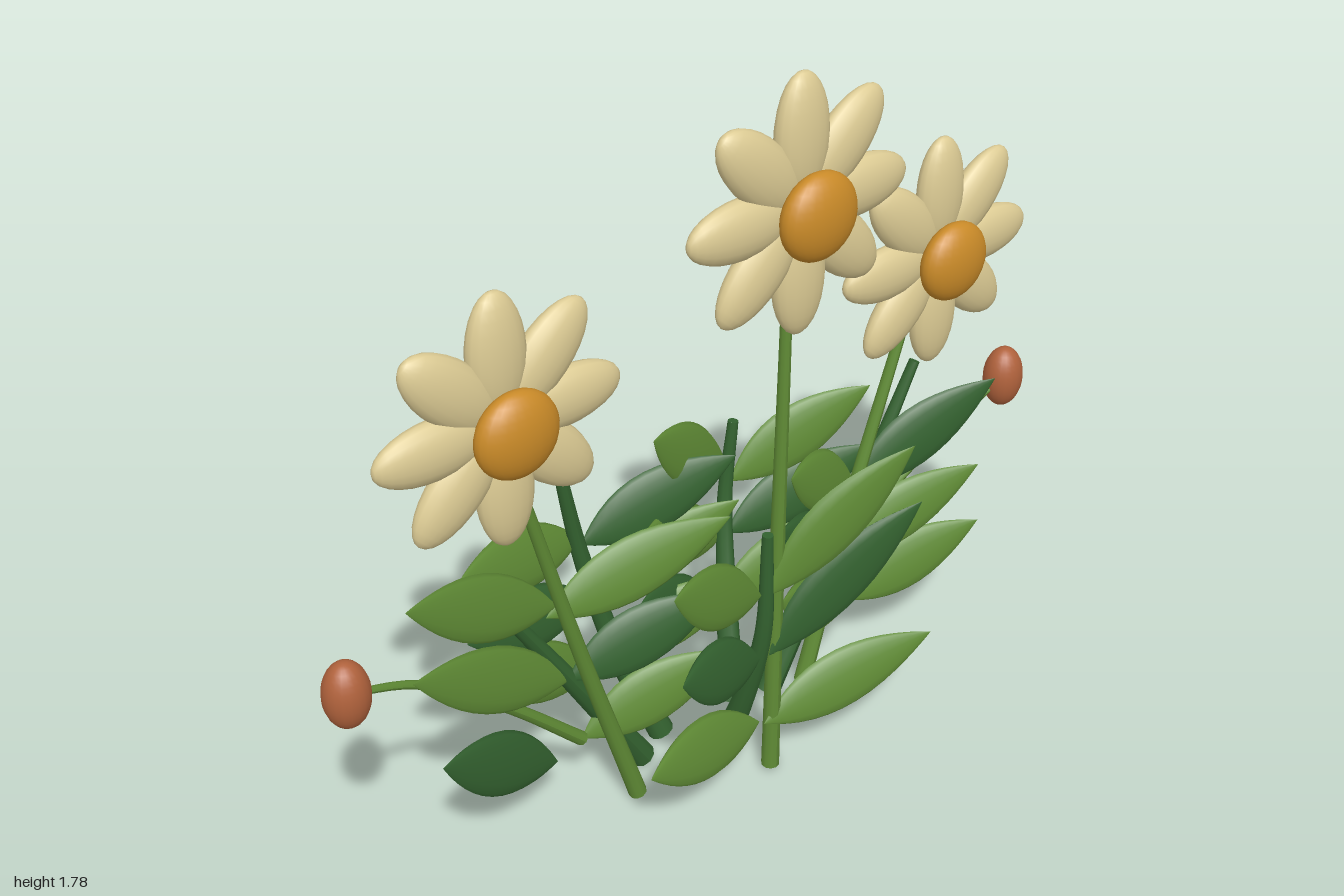
import * as THREE from 'three';

const mat = (color, side = THREE.FrontSide) => new THREE.MeshStandardMaterial({ color, side });
const LIGHT = mat(0x5f8a35), DARK = mat(0x33612f);
const PETAL = mat(0xdccb94), DISC = mat(0xc98a28), BUD = mat(0xb0623c);
const V = (p) => new THREE.Vector3(...p);

function add(parent, name, geometry, material) {
  const mesh = new THREE.Mesh(geometry, material);
  mesh.name = name;
  parent.add(mesh);
  return mesh;
}

// Tapered curved stalk with closed ends
function stalk(parent, name, points, r0, r1, material) {
  const curve = new THREE.CatmullRomCurve3(points.map(V));
  const rows = 20, sides = 10;
  const geo = new THREE.TubeGeometry(curve, rows, 1, sides);
  const pos = geo.attributes.position, v = new THREE.Vector3();
  for (let i = 0; i < pos.count; i++) {
    const u = Math.floor(i / (sides + 1)) / rows;
    const c = curve.getPointAt(u);
    v.fromBufferAttribute(pos, i).sub(c).multiplyScalar(r0 + (r1 - r0) * u).add(c);
    pos.setXYZ(i, v.x, v.y, v.z);
  }
  geo.computeVertexNormals();
  const group = new THREE.Group();
  group.name = name;
  parent.add(group);
  add(group, 'stalkBody', geo, material);
  for (const [u, r, s] of [[0, r0, -1], [1, r1, 1]]) {
    const cap = add(group, 'stalkEnd', new THREE.CircleGeometry(r, sides), material);
    cap.position.copy(curve.getPointAt(u));
    cap.quaternion.setFromUnitVectors(new THREE.Vector3(0, 0, 1), curve.getTangentAt(u).multiplyScalar(s));
  }
}

// Leaf blank: a sphere pinched to points at both ends, fuller towards the base
const leafGeo = new THREE.SphereGeometry(1, 14, 18);
{
  const p = leafGeo.attributes.position;
  for (let i = 0; i < p.count; i++) {
    const y = p.getY(i), k = Math.sqrt(Math.max(0, 1 - y * y)) * (1 - 0.15 * y);
    p.setXYZ(i, p.getX(i) * k, y, p.getZ(i) * k - 0.6 * (1 - y * y));
  }
  leafGeo.computeVertexNormals();
}

function leaf(parent, base, tip, material) {
  const a = V(base), b = V(tip);
  const axis = b.clone().sub(a);
  const length = axis.length();
  axis.normalize();
  // blade faces forward and slightly up
  const normal = new THREE.Vector3(0, 0.4, 1);
  normal.addScaledVector(axis, -normal.dot(axis)).normalize();
  const width = new THREE.Vector3().crossVectors(axis, normal);
  const mesh = add(parent, 'leaf', leafGeo, material);
  mesh.quaternion.setFromRotationMatrix(new THREE.Matrix4().makeBasis(width, axis, normal));
  mesh.scale.set(0.074, length / 2, 0.022);
  mesh.position.copy(a).add(b).multiplyScalar(0.5);
}

// Leafy shoot: stalk plus leaves given as [baseX, baseY, tipX, tipY, dark]
function shoot(parent, name, path, z, leaves) {
  const group = new THREE.Group();
  group.name = name;
  parent.add(group);
  stalk(group, 'shootStalk', path, 0.032, 0.013, DARK);
  for (const [bx, by, tx, ty, dark] of leaves)
    leaf(group, [bx, by, z], [tx, ty, z + 0.115], dark ? DARK : LIGHT);
}

function flower(parent, name, x, y, z, path) {
  const group = new THREE.Group();
  group.name = name;
  parent.add(group);
  stalk(group, 'flowerStalk', [...path, [x, y, z - 0.03]], 0.022, 0.011, LIGHT);
  const petalGeo = new THREE.SphereGeometry(1, 18, 14);
  for (let i = 0; i < 8; i++) {
    const a = (i * Math.PI) / 4;
    const petal = add(group, 'petal', petalGeo, PETAL);
    petal.scale.set(0.067, 0.138, 0.038);
    petal.position.set(x - 0.152 * Math.sin(a), y + 0.152 * Math.cos(a), z);
    petal.rotation.z = a;
  }
  const disc = add(group, 'flowerCentre', new THREE.SphereGeometry(1, 24, 16), DISC);
  disc.scale.set(0.096, 0.096, 0.048);
  disc.position.set(x, y, z + 0.056);
}

function bud(parent, name, x, y, path) {
  const group = new THREE.Group();
  group.name = name;
  parent.add(group);
  stalk(group, 'budStalk', [...path, [x, y, -0.01]], 0.017, 0.008, LIGHT);
  const head = add(group, 'budHead', new THREE.SphereGeometry(1, 20, 16), BUD);
  head.scale.set(0.052, 0.081, 0.048);
  head.position.set(x, y, -0.01);
}

export function createModel() {
  const model = new THREE.Group();
  model.name = 'floweringPlant';

  // Three open flowers
  flower(model, 'middleFlower', 0.08, 1.5, 0.168, [[0.055, 0.02, 0.14], [0.065, 0.7, 0.14], [0.075, 1.2, 0.14]]);
  flower(model, 'rightFlower', -0.58, 1.2, 0.046, [[-0.25, 0.02, 0.015], [-0.39, 0.5, 0.01], [-0.525, 1.0, 0.015]]);
  flower(model, 'leftFlower', 0.67, 1.13, -0.008, [[0.32, 0.02, -0.04], [0.46, 0.5, -0.04], [0.605, 0.93, -0.04]]);

  // Two closed buds on thin arching stalks
  bud(model, 'rightBud', -0.95, 0.68, [[-0.35, 0.19, -0.06], [-0.55, 0.4, -0.05], [-0.78, 0.6, -0.03]]);
  bud(model, 'leftBud', 0.945, 0.69, [[0.22, 0.17, -0.05], [0.46, 0.4, -0.04], [0.72, 0.58, -0.02]]);

  // Five leafy shoots
  shoot(model, 'frontShoot', [[0.02, 0.02, 0.01], [0.02, 0.2, 0.08], [0.03, 0.42, 0.135], [0.035, 0.7, 0.14]], 0.15, [
    [0.03, 0.54, 0.355, 0.865], [0.035, 0.365, 0.39, 0.7, 1], [0.025, 0.165, 0.45, 0.295],
    [0.01, 0.55, -0.33, 0.77], [0.01, 0.37, -0.31, 0.53, 1], [0.01, 0.18, -0.4, 0.32],
  ]);
  shoot(model, 'rightShoot', [[-0.17, 0.03, -0.07], [-0.31, 0.27, -0.07], [-0.47, 0.54, -0.075], [-0.6, 0.75, -0.075]], -0.06, [
    [-0.4, 0.6, -0.835, 0.865], [-0.37, 0.38, -0.835, 0.685], [-0.42, 0.16, -0.785, 0.43, 1],
    [-0.43, 0.58, 0.0, 0.72], [-0.38, 0.38, -0.03, 0.52, 1], [-0.35, 0.19, 0.0, 0.34],
  ]);
  shoot(model, 'leftShoot', [[0.22, 0.03, -0.06], [0.36, 0.27, -0.06], [0.52, 0.55, -0.05], [0.655, 0.83, -0.04]], -0.04, [
    [0.46, 0.54, 0.82, 0.77, 1], [0.39, 0.36, 0.785, 0.535], [0.45, 0.21, 0.8, 0.36],
    [0.47, 0.56, 0.16, 0.76], [0.42, 0.38, 0.13, 0.62, 1], [0.46, 0.19, 0.14, 0.42],
  ]);
  shoot(model, 'backRightShoot', [[-0.08, 0.03, -0.11], [-0.15, 0.25, -0.17], [-0.22, 0.55, -0.21], [-0.285, 0.9, -0.212]], -0.23, [
    [-0.21, 0.6, -0.61, 0.73], [-0.19, 0.42, -0.6, 0.56, 1], [-0.17, 0.2, -0.6, 0.46],
    [-0.21, 0.58, 0.16, 0.73, 1], [-0.19, 0.4, 0.17, 0.6], [-0.17, 0.22, 0.2, 0.36],
  ]);
  shoot(model, 'backLeftShoot', [[0.13, 0.03, -0.09], [0.18, 0.25, -0.17], [0.23, 0.5, -0.24], [0.26, 0.72, -0.245]], -0.245, [
    [0.25, 0.55, 0.6, 0.74], [0.24, 0.4, 0.62, 0.56, 1], [0.2, 0.19, 0.6, 0.4],
    [0.24, 0.6, -0.07, 0.855], [0.23, 0.4, -0.1, 0.62], [0.2, 0.2, -0.12, 0.42, 1],
  ]);

  return model;
}
